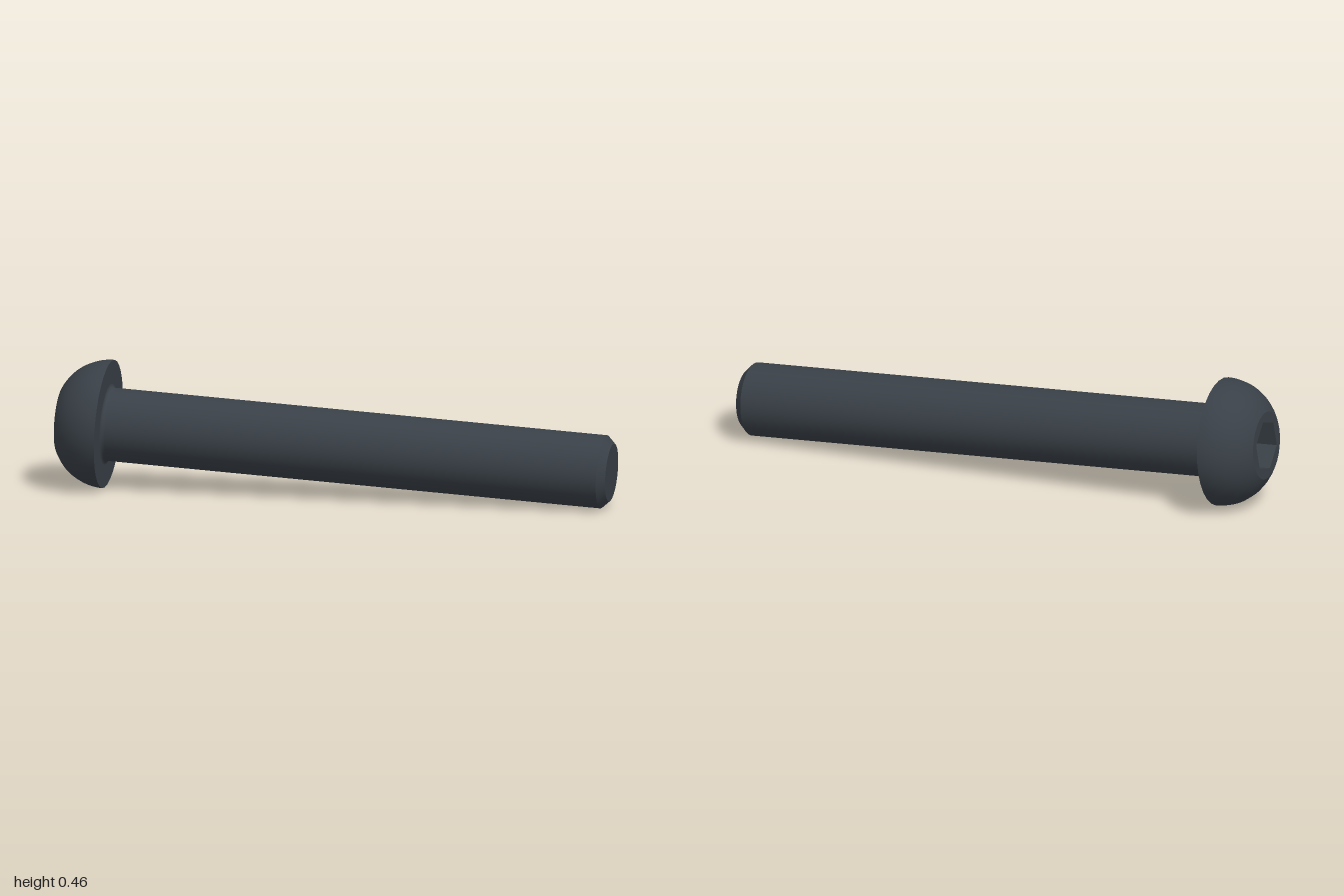
import * as THREE from 'three';

const SEGMENTS = 32;
const SHAFT_R = 0.13, TIP_R = 0.103, CHAMFER = 0.028;
const HEAD_R = 0.228, HEAD_H = 0.17, FACE_R = 0.121;
const HEX_R = 0.094, HEX_DEPTH = 0.09, FILLET = 0.014;

export function createModel() {
  const steel = new THREE.MeshStandardMaterial({ color: 0x394047 });
  steel.name = 'darkSteel';

  const bolt = new THREE.Group();
  bolt.name = 'bolt';

  const add = (name, geometry) => {
    const mesh = new THREE.Mesh(geometry, steel);
    mesh.name = name;
    bolt.add(mesh);
  };
  // Each turned surface is its own lathe, so edges between them stay sharp
  const turn = (name, points) =>
    add(name, new THREE.LatheGeometry(points.map(([r, y]) => new THREE.Vector2(r, y)), SEGMENTS));

  // Bolt axis: underside of the head is the local origin, local +y points out of the head
  const seat = new THREE.Vector3(-0.808, 0.228, -0.139);
  const tip = new THREE.Vector3(0.976, 0.13, 0.242);
  const length = seat.distanceTo(tip);

  // Shaft with chamfered tip
  turn('tipFace', [[0, -length], [TIP_R, -length]]);
  turn('tipChamfer', [[TIP_R, -length], [SHAFT_R, -length + CHAMFER]]);
  turn('shaft', [[SHAFT_R, -length + CHAMFER], [SHAFT_R, -FILLET]]);

  // Small fillet between shaft and head
  const fillet = [];
  for (let i = 0; i <= 4; i++) {
    const a = (i / 4) * Math.PI / 2;
    fillet.push([SHAFT_R + FILLET * (1 - Math.cos(a)), -FILLET * (1 - Math.sin(a))]);
  }
  turn('headFillet', fillet);
  turn('headUnderside', [[SHAFT_R + FILLET, 0], [HEAD_R, 0]]);

  // Domed head: an arc leaving the rim parallel to the axis
  const arcCentre = 0.0395, arcR = HEAD_R - arcCentre;
  const endAngle = Math.asin(HEAD_H / arcR);
  const dome = [];
  for (let i = 0; i <= 12; i++) {
    const a = (i / 12) * endAngle;
    dome.push([arcCentre + arcR * Math.cos(a), arcR * Math.sin(a)]);
  }
  dome[12][0] = FACE_R;
  turn('headDome', dome);

  // Flat head face with a hexagonal opening
  const ringPoints = (radius, count) => Array.from({ length: count }, (_, i) => {
    const a = (i / count) * Math.PI * 2;
    return new THREE.Vector2(Math.cos(a) * radius, Math.sin(a) * radius);
  });
  const face = new THREE.Shape(ringPoints(FACE_R, SEGMENTS));
  face.holes.push(new THREE.Path(ringPoints(HEX_R, 6)));
  add('headFace', new THREE.ShapeGeometry(face).rotateX(-Math.PI / 2).translate(0, HEAD_H, 0));

  // Hex socket: inward walls and floor, flat faceted
  const floorY = HEAD_H - HEX_DEPTH;
  const socket = new THREE.LatheGeometry([
    new THREE.Vector2(HEX_R, HEAD_H),
    new THREE.Vector2(HEX_R, floorY),
    new THREE.Vector2(0, floorY),
  ], 6, Math.PI / 2).toNonIndexed();
  socket.computeVertexNormals();
  add('hexSocket', socket);

  // Lay the bolt down along its tilted axis
  const outward = seat.clone().sub(tip).normalize();
  bolt.quaternion.setFromUnitVectors(new THREE.Vector3(0, 1, 0), outward);
  bolt.position.copy(seat);

  const model = new THREE.Group();
  model.name = 'buttonHeadBolt';
  model.add(bolt);
  return model;
}
